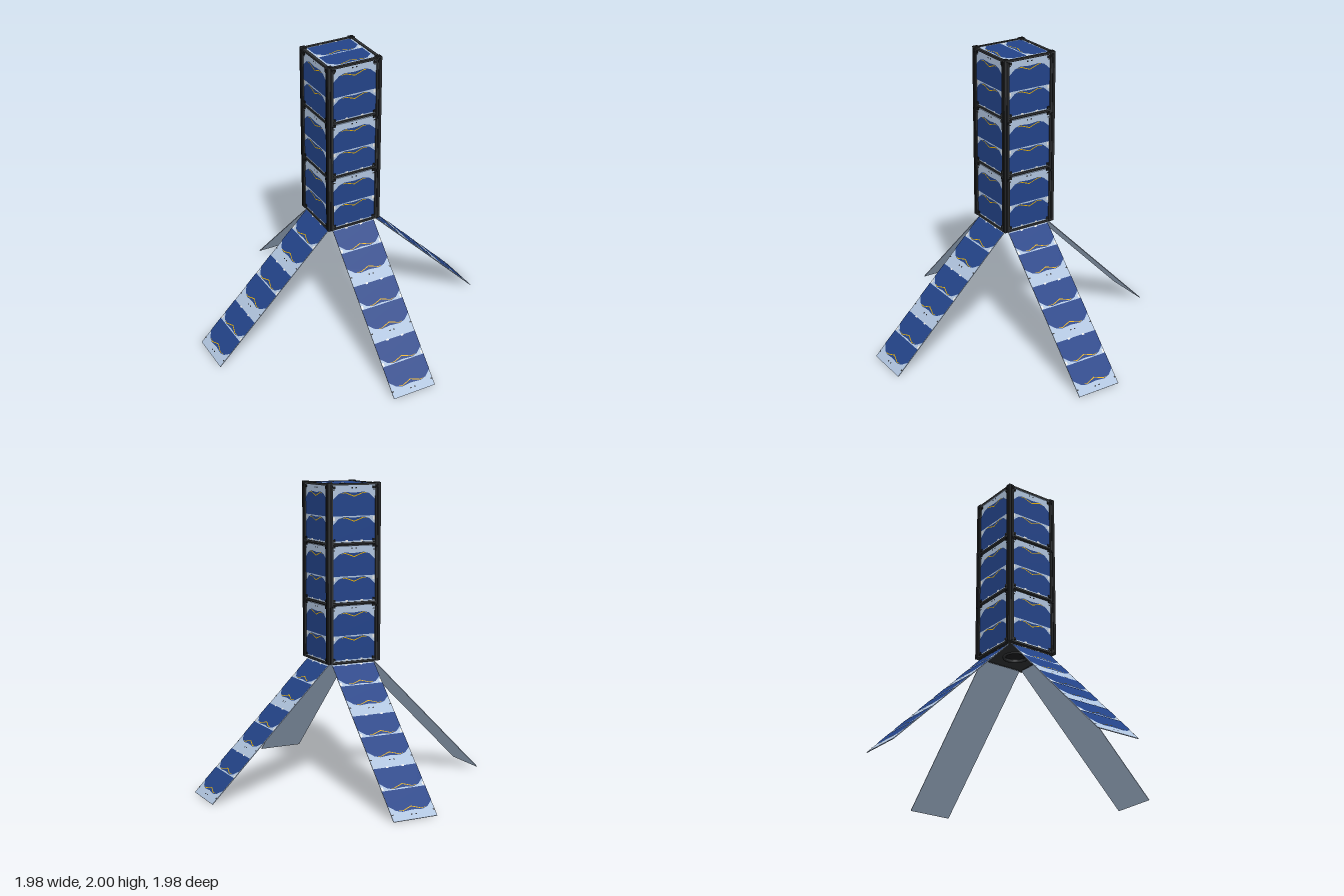
import * as THREE from 'three';

const mat = (name, color) => Object.assign(new THREE.MeshStandardMaterial({ color }), { name });

export function createModel() {
  const M = {
    board: mat('boardBlueGrey', 0xb0c4de),
    cell: mat('cellBlue', 0x234388),
    gold: mat('goldContact', 0xf2b705),
    white: mat('whiteTab', 0xf0f0ee),
    frame: mat('frameCharcoal', 0x2f3133),
    dark: mat('darkBlack', 0x1b1c1e),
  };
  const model = new THREE.Group();
  model.name = 'cubeSatellite';

  const box = (parent, name, m, w, h, d, x, y, z) => {
    const mesh = new THREE.Mesh(new THREE.BoxGeometry(w, h, d), m);
    mesh.name = name;
    mesh.position.set(x, y, z);
    parent.add(mesh);
    return mesh;
  };
  const plate = (parent, name, m, pts, y, z) => {
    const shape = new THREE.Shape(pts.map(p => new THREE.Vector2(p[0], p[1])));
    const mesh = new THREE.Mesh(new THREE.ShapeGeometry(shape), m);
    mesh.name = name;
    mesh.position.set(0, y, z);
    parent.add(mesh);
  };

  // One solar cell: flat bottom, clipped top corners, thin gold line dipping at the centre
  const W = 0.153, H = 0.154;
  const cellOutline = [[-W, 0], [W, 0], [W, H - 0.05], [0.11, H - 0.012], [0.07, H],
    [0, H - 0.006], [-0.07, H], [-0.11, H - 0.012], [-W, H - 0.05]];
  const goldLine = [[-0.1, H - 0.012], [-0.065, H - 0.008], [0, H - 0.032], [0.065, H - 0.008], [0.1, H - 0.012],
    [0.065, H - 0.003], [0, H - 0.026], [-0.065, H - 0.003]];
  const rect = (x, y, w, h) => [[x - w / 2, y - h / 2], [x + w / 2, y - h / 2], [x + w / 2, y + h / 2], [x - w / 2, y + h / 2]];

  // Pair of cells with contact tabs and small electronic parts above them
  function cellPair(extras = true) {
    const g = new THREE.Group();
    g.name = 'solarCellPair';
    [0.012, 0.171].forEach(y => {
      plate(g, 'solarCell', M.cell, cellOutline, y, 0.002);
      plate(g, 'goldContactLine', M.gold, goldLine, y, 0.004);
    });
    for (const s of [-1, 1]) {
      plate(g, 'whiteTab', M.white, rect(s * 0.055, 0.012, 0.018, 0.012), 0, 0.004);
      plate(g, 'cornerDiode', M.white, rect(s * 0.144, 0.155, 0.014, 0.022), 0, 0.0015);
      if (!extras) continue;
      plate(g, 'chip', M.dark, rect(s * 0.015, 0.35, 0.01, 0.008), 0, 0.002);
      plate(g, 'sideChip', M.frame, rect(s * 0.145, 0.338, 0.014, 0.008), 0, 0.002);
    }
    return g;
  }

  const y0 = 0.835, pitch = 0.386, top = 1.995;

  // Inner core and top and bottom plates
  box(model, 'core', M.dark, 0.34, top - y0 - 0.02, 0.34, 0, (top + y0) / 2, 0);
  box(model, 'topBoard', M.board, 0.37, 0.01, 0.37, 0, 1.984, 0);
  const topCells = cellPair(false);
  topCells.rotation.set(-Math.PI / 2, 0, Math.PI);
  topCells.position.set(0, 1.989, -0.168);
  model.add(topCells);

  // Bottom plate with a round opening and lens ring
  const base = new THREE.Shape([[-1, -1], [1, -1], [1, 1], [-1, 1]].map(p => new THREE.Vector2(p[0] * 0.175, p[1] * 0.175)));
  base.holes.push(new THREE.Path().absarc(0, 0, 0.075, 0, Math.PI * 2, true));
  const basePlate = new THREE.Mesh(new THREE.ExtrudeGeometry(base, { depth: 0.02, bevelEnabled: false, curveSegments: 24 }), M.frame);
  basePlate.name = 'bottomPlate';
  basePlate.rotation.x = Math.PI / 2;
  basePlate.position.y = 0.85;
  model.add(basePlate);
  const ring = new THREE.Mesh(new THREE.TorusGeometry(0.075, 0.01, 8, 32), M.frame);
  ring.name = 'lensRing';
  ring.rotation.x = Math.PI / 2;
  ring.position.y = 0.83;
  model.add(ring);

  for (let i = 0; i < 4; i++) {
    const side = new THREE.Group();
    side.name = 'side' + (i + 1);
    side.rotation.y = i * Math.PI / 2;
    model.add(side);

    // Body boards, three stacked units
    for (let u = 0; u < 3; u++) {
      const y = 0.842 + u * pitch;
      box(side, 'bodyBoard', M.board, 0.312, 0.366, 0.012, 0, y + 0.183, 0.174);
      const cells = cellPair();
      cells.position.set(0, y, 0.18);
      side.add(cells);
    }

    // Cross bars and their corner screws
    for (let b = 0; b < 4; b++) {
      const y = Math.min(0.838 + b * pitch, 1.987);
      box(side, 'crossBar', M.frame, 0.32, 0.013, 0.02, 0, y, 0.177);
      for (const s of [-1, 1]) {
        if (b > 0) box(side, 'screwBlock', M.dark, 0.022, 0.016, 0.014, s * 0.146, y - 0.02, 0.179);
        if (b < 3) box(side, 'screwBlock', M.dark, 0.022, 0.016, 0.014, s * 0.146, y + 0.02, 0.179);
      }
    }

    // Corner rail: square post with a raised strip on each outer face
    box(side, 'cornerRail', M.frame, 0.036, top - y0 + 0.005, 0.036, 0.172, (top + y0) / 2, 0.172);
    box(side, 'railStrip', M.dark, 0.012, 1.15, 0.006, 0.172, 1.413, 0.191);
    box(side, 'railStrip', M.dark, 0.006, 1.15, 0.012, 0.191, 1.413, 0.172);
    box(side, 'railCap', M.dark, 0.018, 0.003, 0.018, 0.172, 1.9985, 0.172);
    for (let b = 0; b < 3; b++) {
      box(side, 'railScrew', M.dark, 0.014, 0.014, 0.008, 0.165, 1.2 + b * pitch, 0.192);
      box(side, 'railScrew', M.dark, 0.008, 0.014, 0.014, 0.192, 1.2 + b * pitch, 0.165);
    }

    // Small clips along the top edge
    for (const s of [-1, 1]) box(side, 'topClip', M.dark, 0.022, 0.005, 0.018, s * 0.065, 1.99, 0.174);

    // Deployed wing folded out at 45 degrees from the lower edge
    box(side, 'hingeBar', M.frame, 0.29, 0.012, 0.014, 0, 0.832, 0.168);
    const wing = new THREE.Group();
    wing.name = 'solarWing';
    wing.rotation.set(Math.PI * 0.75, Math.PI, 0);
    wing.position.set(0, 0.828, 0.166);
    box(wing, 'wingBoard', M.board, 0.306, 1.165, 0.005, 0, 0.5825, -0.0025);
    for (let u = 0; u < 3; u++) {
      const cells = cellPair();
      cells.position.y = 0.004 + u * 0.389;
      wing.add(cells);
    }
    side.add(wing);
  }
  return model;
}
